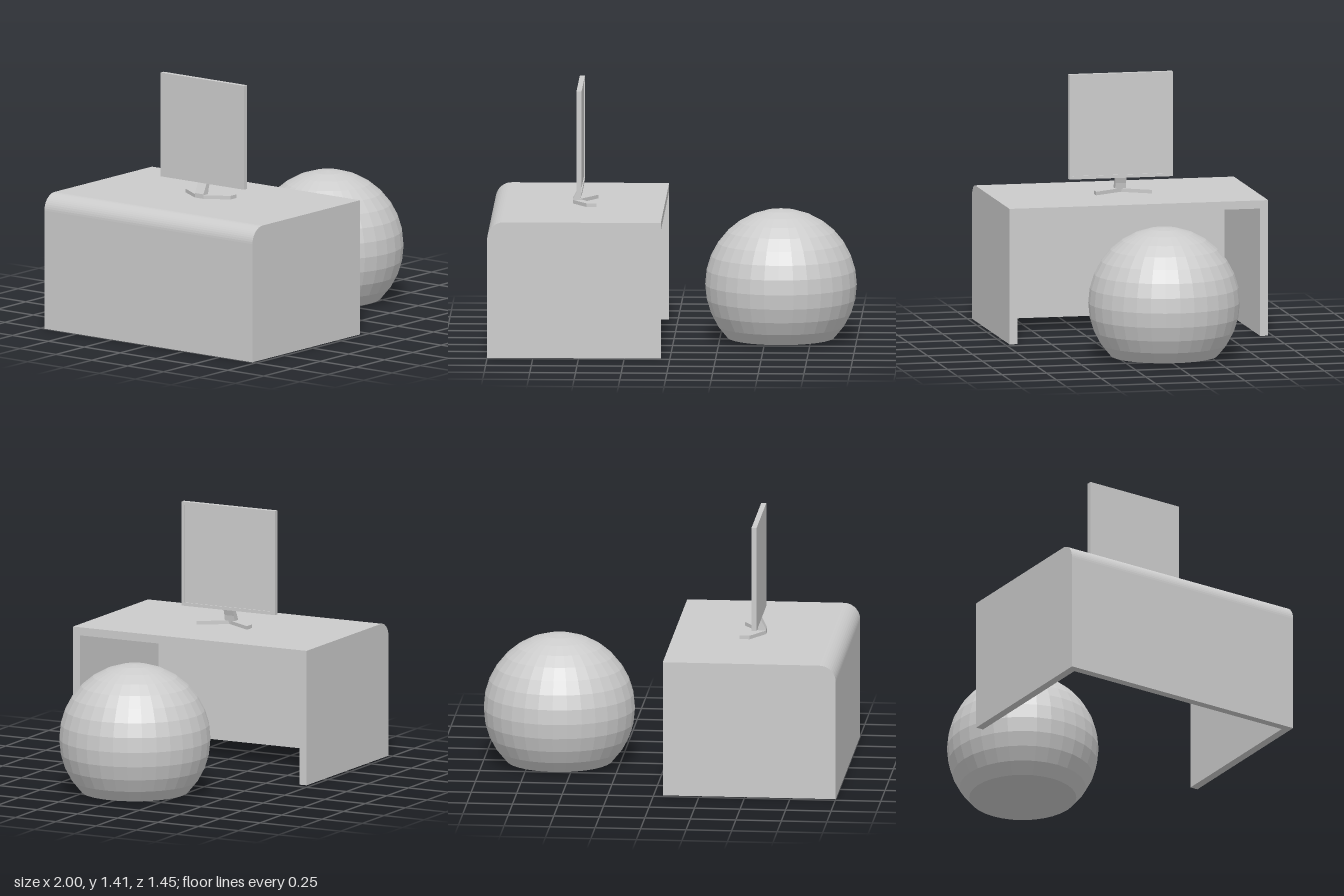
import * as THREE from 'three';

const mat = new THREE.MeshStandardMaterial({ color: 0xcccccc, flatShading: true });

function add(parent, name, geometry, x = 0, y = 0, z = 0) {
  const mesh = new THREE.Mesh(geometry, mat);
  mesh.name = name;
  mesh.position.set(x, y, z);
  parent.add(mesh);
  return mesh;
}

function group(parent, name) {
  const g = new THREE.Group();
  g.name = name;
  parent.add(g);
  return g;
}

const extrude = (shape, depth) =>
  new THREE.ExtrudeGeometry(shape, { depth, bevelEnabled: false, curveSegments: 6 });

const polygon = (points) => new THREE.Shape(points.map(([x, y]) => new THREE.Vector2(x, y)));

const rect = (w, h) => polygon([[-w / 2, -h / 2], [w / 2, -h / 2], [w / 2, h / 2], [-w / 2, h / 2]]);

// Desk: x from -1 to -0.05, open at the +x side, rounded along its rear top edge
function buildDesk(root) {
  const desk = group(root, 'desk');
  const x0 = -1, x1 = -0.05, h = 0.75, r = 0.09, t = 0.045, halfZ = 0.725;

  const roundedTop = (shape) => {
    shape.lineTo(x1, h);
    shape.lineTo(x0 + r, h);
    shape.absarc(x0 + r, h - r, r, Math.PI / 2, Math.PI, false);
    shape.lineTo(x0, 0);
    return shape;
  };

  // Side panels
  const side = new THREE.Shape();
  side.moveTo(x0, 0);
  side.lineTo(x1, 0);
  const sideGeometry = extrude(roundedTop(side), t);
  add(desk, 'leftSidePanel', sideGeometry, 0, 0, halfZ - t);
  add(desk, 'rightSidePanel', sideGeometry, 0, 0, -halfZ);

  // Top and rear panel as one L-shaped section
  const shell = new THREE.Shape();
  shell.moveTo(x0, 0);
  shell.lineTo(x0 + t, 0);
  shell.lineTo(x0 + t, h - t);
  shell.lineTo(x1, h - t);
  add(desk, 'topAndRearPanel', extrude(roundedTop(shell), 2 * (halfZ - t)), 0, 0, -halfZ + t);
}

// Monitor standing on the desk, screen facing +x
function buildMonitor(root) {
  const monitor = group(root, 'monitor');
  const size = 0.58, rim = 0.018, depth = 0.028, recess = 0.006;
  const back = -0.525, midY = 1.12;

  const frame = rect(size, size);
  frame.holes.push(rect(size - 2 * rim, size - 2 * rim));
  add(monitor, 'screenFrame', extrude(frame, depth).rotateY(Math.PI / 2), back, midY, 0);

  const inner = size - 2 * rim;
  add(monitor, 'screenPanel', new THREE.BoxGeometry(depth - recess, inner, inner),
    back + (depth - recess) / 2, midY, 0);

  // Slanted neck
  const neck = polygon([[-0.553, 0.75], [-0.515, 0.75], [-0.507, 0.80], [-0.497, 0.83],
    [-0.525, 0.83], [-0.553, 0.775]]);
  add(monitor, 'neck', extrude(neck, 0.06), 0, 0, -0.03);

  // V-shaped foot
  const foot = polygon([[-0.553, -0.03], [-0.475, -0.157], [-0.42, -0.157], [-0.517, 0],
    [-0.42, 0.157], [-0.475, 0.157], [-0.553, 0.03]]);
  add(monitor, 'foot', extrude(foot, 0.02).rotateX(Math.PI / 2), 0, 0.77, 0);
}

// Ball seat: faceted sphere cut flat underneath
function buildBallSeat(root) {
  const seat = group(root, 'ballSeat');
  const r = 0.415, x = 0.585, y = 0.305, cut = Math.PI * 0.75;
  add(seat, 'ball', new THREE.SphereGeometry(r, 32, 12, 0, Math.PI * 2, 0, cut), x, y, 0);
  add(seat, 'ballBase', new THREE.CircleGeometry(r * Math.sin(cut), 32).rotateX(Math.PI / 2),
    x, y + r * Math.cos(cut), 0);
}

export function createModel() {
  const root = new THREE.Group();
  root.name = 'deskWithMonitorAndBallSeat';
  buildDesk(root);
  buildMonitor(root);
  buildBallSeat(root);
  return root;
}
